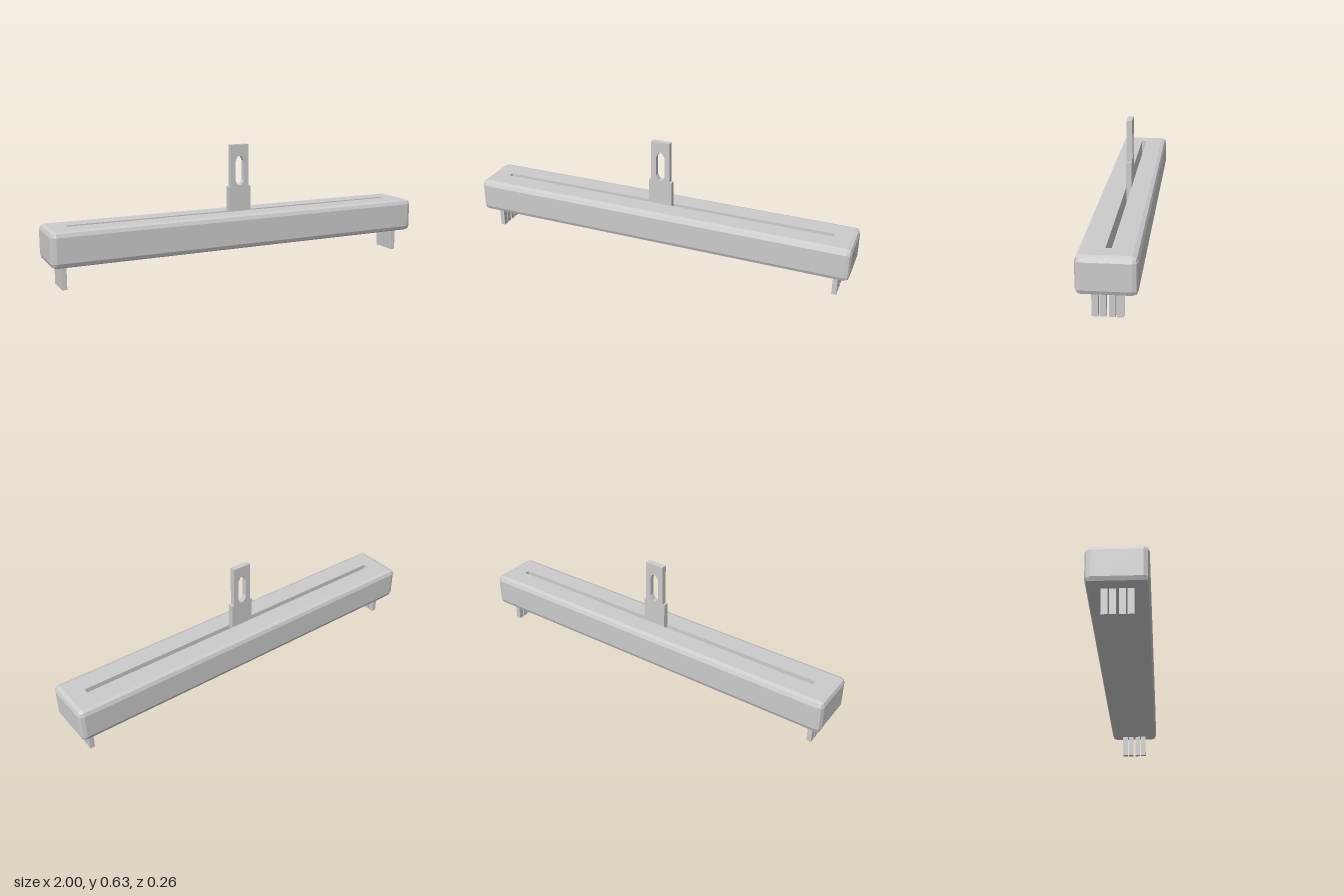
import * as THREE from 'three';
import { RoundedBoxGeometry } from 'three/addons/geometries/RoundedBoxGeometry.js';

const LENGTH = 2, HEIGHT = 0.172, DEPTH = 0.262, BEVEL = 0.025;
const BOTTOM = 0.115, TOP = BOTTOM + HEIGHT;
const SLOT = { x: 0.895, z: 0.013, depth: 0.1 };

const material = new THREE.MeshStandardMaterial({ color: 0xcccccc, flatShading: true });
const openMaterial = new THREE.MeshStandardMaterial({
  color: 0xcccccc, flatShading: true, side: THREE.DoubleSide,
});

function addMesh(parent, name, geometry, x = 0, y = 0, z = 0, mat = material) {
  const mesh = new THREE.Mesh(geometry, mat);
  mesh.name = name;
  mesh.position.set(x, y, z);
  parent.add(mesh);
  return mesh;
}

const points = (list) => list.map(([x, y]) => new THREE.Vector2(x, y));
const rectangle = (x, y) => points([[-x, -y], [x, -y], [x, y], [-x, y]]);

// Bevelled housing with its flat top removed, leaving room for the slotted cover
function housingGeometry() {
  const g = new RoundedBoxGeometry(LENGTH, HEIGHT, DEPTH, 1, BEVEL);
  const p = g.attributes.position;
  const kept = [];
  for (let i = 0; i < p.count; i += 3) {
    const isTop = [0, 1, 2].every((k) => p.getY(i + k) > HEIGHT / 2 - 1e-4);
    if (isTop) continue;
    for (let k = 0; k < 3; k++) kept.push(p.getX(i + k), p.getY(i + k), p.getZ(i + k));
  }
  const open = new THREE.BufferGeometry();
  open.setAttribute('position', new THREE.Float32BufferAttribute(kept, 3));
  open.computeVertexNormals();
  return open;
}

// Flat top face with the long slot cut out
function coverGeometry() {
  const shape = new THREE.Shape(rectangle(LENGTH / 2 - BEVEL, DEPTH / 2 - BEVEL));
  shape.holes.push(new THREE.Path(rectangle(SLOT.x, SLOT.z)));
  return new THREE.ShapeGeometry(shape).rotateX(-Math.PI / 2);
}

// Slider tab: stepped outline with an elongated eight-sided hole
function sliderGeometry() {
  const half = [[0.062, TOP - SLOT.depth], [0.062, 0.415], [0.05, 0.415], [0.05, 0.628]];
  const mirrored = half.map(([x, y]) => [-x, y]).reverse();
  const shape = new THREE.Shape(points([...half, ...mirrored]));
  const hole = [[0.01, 0.42], [0.024, 0.445], [0.024, 0.545], [0.01, 0.57]];
  const holeMirror = hole.map(([x, y]) => [-x, y]).reverse();
  shape.holes.push(new THREE.Path(points([...hole, ...holeMirror])));
  const thickness = 0.028;
  return new THREE.ExtrudeGeometry(shape, { depth: thickness, bevelEnabled: false })
    .translate(0, 0, -thickness / 2);
}

export function createModel() {
  const model = new THREE.Group();
  model.name = 'slidePotentiometer';

  // Body
  const body = new THREE.Group();
  body.name = 'body';
  model.add(body);
  addMesh(body, 'housing', housingGeometry(), 0, BOTTOM + HEIGHT / 2, 0);
  addMesh(body, 'slottedTop', coverGeometry(), 0, TOP, 0);

  // Slot walls and floor
  const { x, z, depth } = SLOT;
  const wallY = TOP - depth / 2;
  for (const s of [-1, 1]) {
    addMesh(body, 'slotSide', new THREE.PlaneGeometry(2 * x, depth), 0, wallY, s * z, openMaterial);
    addMesh(body, 'slotEnd', new THREE.PlaneGeometry(2 * z, depth).rotateY(Math.PI / 2),
      s * x, wallY, 0, openMaterial);
  }
  addMesh(body, 'slotFloor', new THREE.PlaneGeometry(2 * x, 2 * z).rotateX(-Math.PI / 2),
    0, TOP - depth, 0, openMaterial);

  // Slider tab
  addMesh(model, 'sliderTab', sliderGeometry());

  // Four flat pins under each end
  const pin = new THREE.BoxGeometry(0.024, BOTTOM + 0.01, 0.028);
  for (const side of [-1, 1]) {
    const row = new THREE.Group();
    row.name = side > 0 ? 'leftPins' : 'rightPins';
    model.add(row);
    for (const pz of [-0.053, -0.019, 0.02, 0.054]) {
      addMesh(row, 'pin', pin, side * 0.931, (BOTTOM + 0.01) / 2, pz);
    }
  }
  return model;
}
